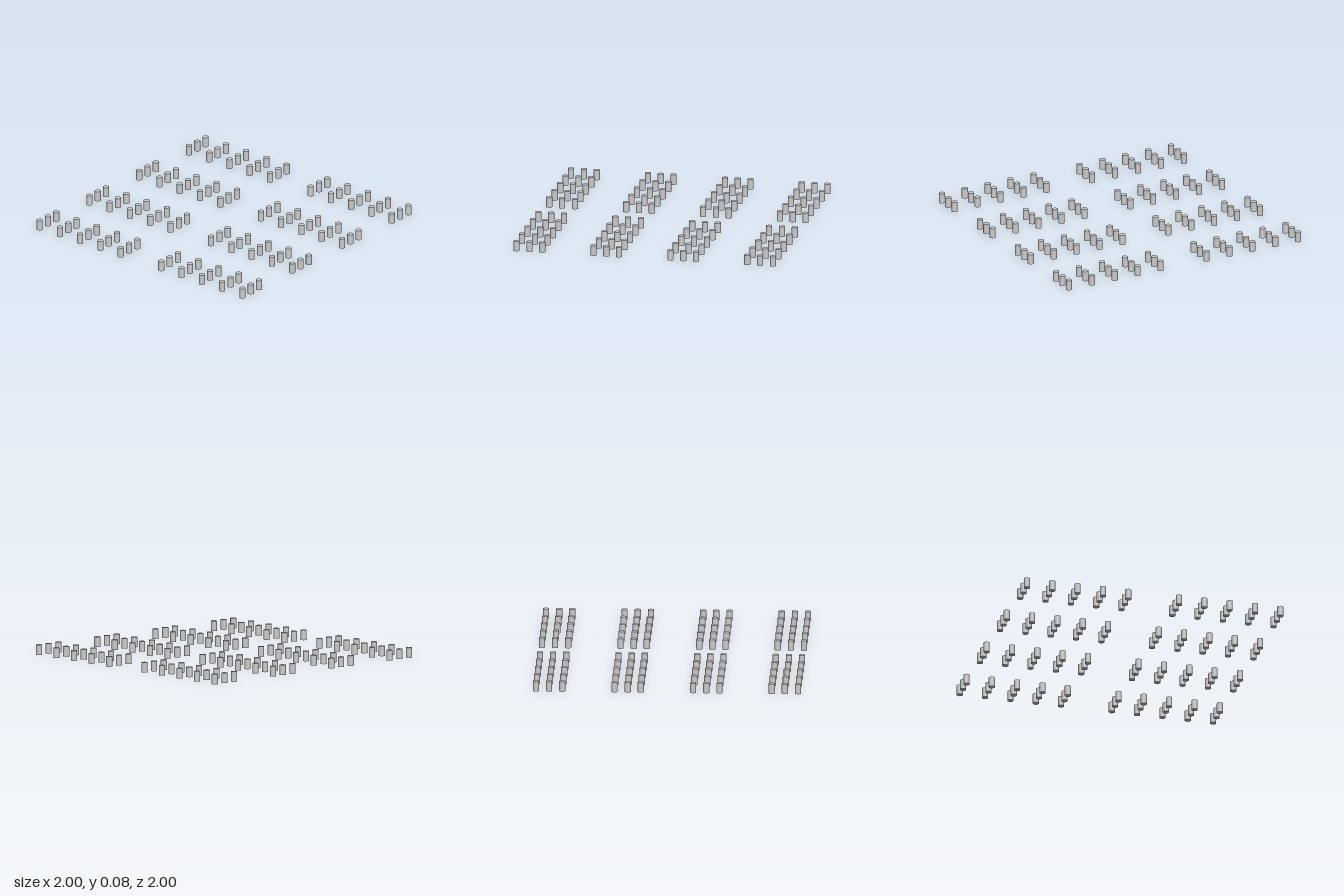
import * as THREE from 'three';

export function createModel() {
  const group = new THREE.Group();
  const material = new THREE.MeshStandardMaterial({ color: 0xcccccc });
  const radius = 0.023, height = 0.076;
  const pitch = (1 - radius) / 5; // outermost posts reach x, z = +-1

  const postGeometry = new THREE.CylinderGeometry(radius, radius, height, 32);
  postGeometry.translate(0, height / 2, 0);

  // Columns and rows in pitch units, mirrored about the central aisles
  const columns = [1, 2, 3, 4, 5];
  const rowBands = [[1, 1.5, 2], [4, 4.5, 5]];

  for (const sx of [-1, 1]) {
    for (const sz of [-1, 1]) {
      for (const band of rowBands) {
        // One block of five columns by three rows
        const block = new THREE.Group();
        block.name = 'postBlock';
        for (const column of columns) {
          for (const row of band) {
            const post = new THREE.Mesh(postGeometry, material);
            post.name = 'post';
            post.position.set(sx * column * pitch, 0, sz * row * pitch);
            block.add(post);
          }
        }
        group.add(block);
      }
    }
  }
  return group;
}
